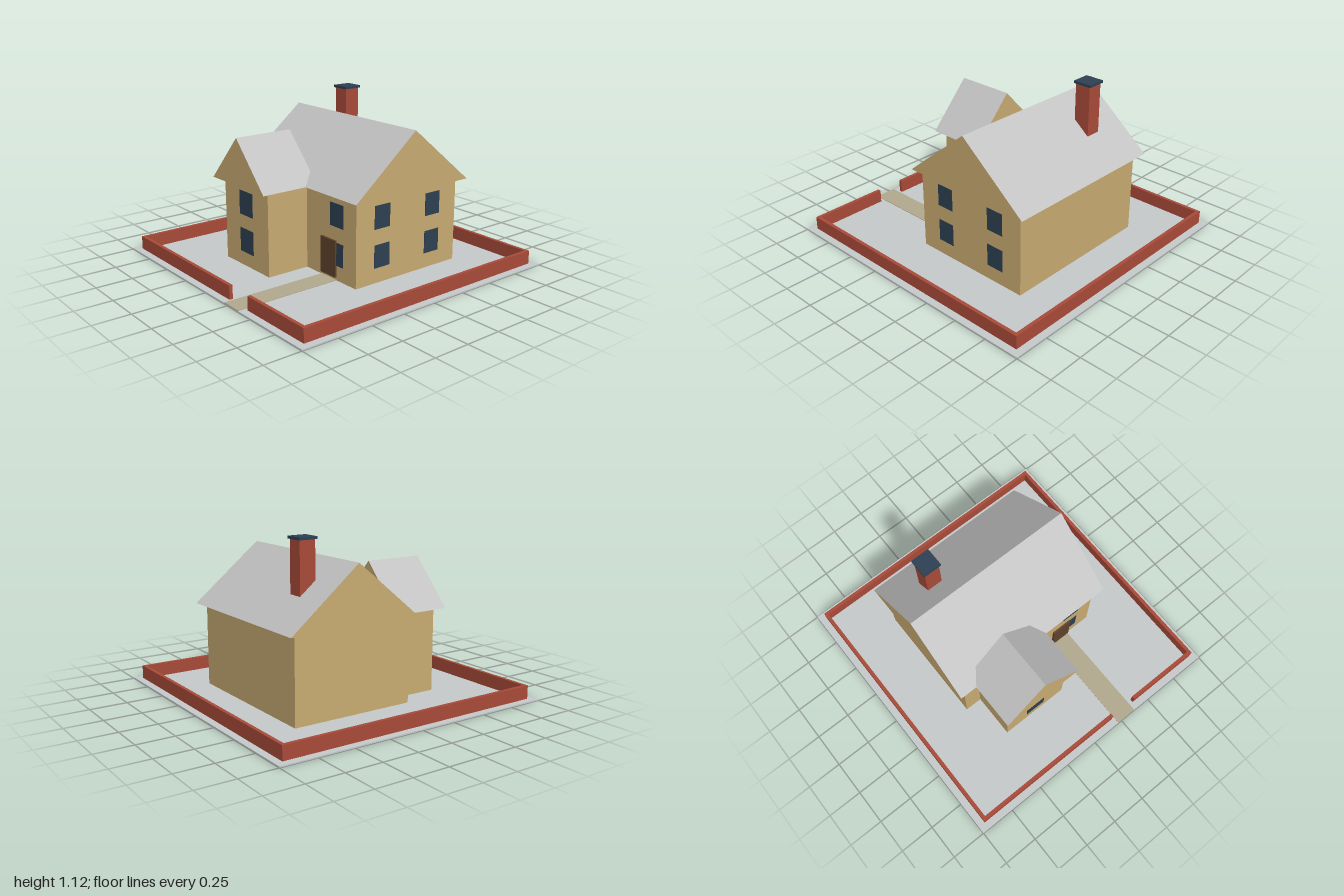
import * as THREE from 'three';

const mat = (name, color, side = THREE.FrontSide) => {
  const m = new THREE.MeshStandardMaterial({ color, side });
  m.name = name;
  return m;
};

export function createModel() {
  const model = new THREE.Group();
  model.name = 'house';

  const wall = mat('sandWall', 0xc9ab72);
  const gable = mat('sandGable', 0xc9ab72, THREE.DoubleSide);
  const roof = mat('greyRoof', 0xc3c3c3, THREE.DoubleSide);
  const brick = mat('redBrick', 0xa94b39);
  const navy = mat('navy', 0x2d4052);
  const wood = mat('brownDoor', 0x60432c);
  const ground = mat('paleGround', 0xc5caca);
  const paving = mat('pathPaving', 0xb2a98e);

  // Box given by its extents on each axis
  const box = (name, material, [x0, x1], [y0, y1], [z0, z1], parent = model) => {
    const mesh = new THREE.Mesh(new THREE.BoxGeometry(x1 - x0, y1 - y0, z1 - z0), material);
    mesh.position.set((x0 + x1) / 2, (y0 + y1) / 2, (z0 + z1) / 2);
    mesh.name = name;
    parent.add(mesh);
    return mesh;
  };

  // Hollow gable roof, open below, ridge along local z: slopes, then end triangles
  const gableRoof = (name, halfSpan, rise, length) => {
    const h = length / 2;
    const [fl, fr, ft] = [[-halfSpan, 0, h], [halfSpan, 0, h], [0, rise, h]];
    const [bl, br, bt] = [fl, fr, ft].map(([x, y]) => [x, y, -h]);
    const corners = [
      fr, br, bt, fr, bt, ft,
      bl, fl, ft, bl, ft, bt,
      fl, fr, ft, br, bl, bt,
    ];
    const geo = new THREE.BufferGeometry();
    geo.setAttribute('position', new THREE.Float32BufferAttribute(corners.flat(), 3));
    geo.computeVertexNormals();
    geo.addGroup(0, 12, 0);
    geo.addGroup(12, 6, 1);
    const mesh = new THREE.Mesh(geo, [roof, gable]);
    mesh.name = name;
    model.add(mesh);
    return mesh;
  };

  // Plot and path
  box('ground', ground, [-1, 1], [0, 0.008], [-1, 1]);
  box('path', paving, [0.22, 0.37], [0.004, 0.012], [0.25, 1]);

  // Garden wall with a gateway at the front
  const garden = new THREE.Group();
  garden.name = 'gardenWall';
  model.add(garden);
  const h = [0.004, 0.1], o = 0.95, i = 0.926;
  box('gardenWallBack', brick, [-o, o], h, [-o, -i], garden);
  box('gardenWallRight', brick, [-o, -i], h, [-i, i], garden);
  box('gardenWallLeft', brick, [i, o], h, [-i, i], garden);
  box('gardenWallFrontA', brick, [-o, 0.2], h, [i, o], garden);
  box('gardenWallFrontB', brick, [0.4, o], h, [i, o], garden);

  // House body and front wing
  box('mainBody', wall, [-0.56, 0.56], [0.004, 0.58], [-0.62, 0.25]);
  box('frontWing', wall, [-0.44, 0.06], [0.004, 0.58], [0.2, 0.56]);

  // Roofs
  const mainRoof = gableRoof('mainRoof', 0.485, 0.395, 1.22);
  mainRoof.rotation.y = Math.PI / 2;
  mainRoof.position.set(0, 0.58, -0.19);
  gableRoof('wingRoof', 0.297, 0.32, 0.423).position.set(-0.19, 0.58, 0.412);

  // Chimney
  box('chimney', brick, [-0.37, -0.26], [0.585, 1.105], [-0.457, -0.345]);
  box('chimneyCap', navy, [-0.38, -0.25], [1.103, 1.12], [-0.468, -0.335]);

  // Door
  box('door', wood, [0.222, 0.37], [0.03, 0.278], [0.245, 0.264]);

  // Windows: two storeys on the wing, the front wall and the left wall
  for (const y of [0.365, 0.105]) {
    box('wingWindow', navy, [-0.265, -0.115], [y, y + 0.165], [0.557, 0.563]);
    const rows = [y + 0.005, y + 0.16];
    box('frontWindow', navy, [0.308, 0.436], rows, [0.247, 0.253]);
    for (const z of [0.035, -0.405]) {
      box('sideWindow', navy, [0.557, 0.563], rows, [z - 0.064, z + 0.064]);
    }
  }
  return model;
}
